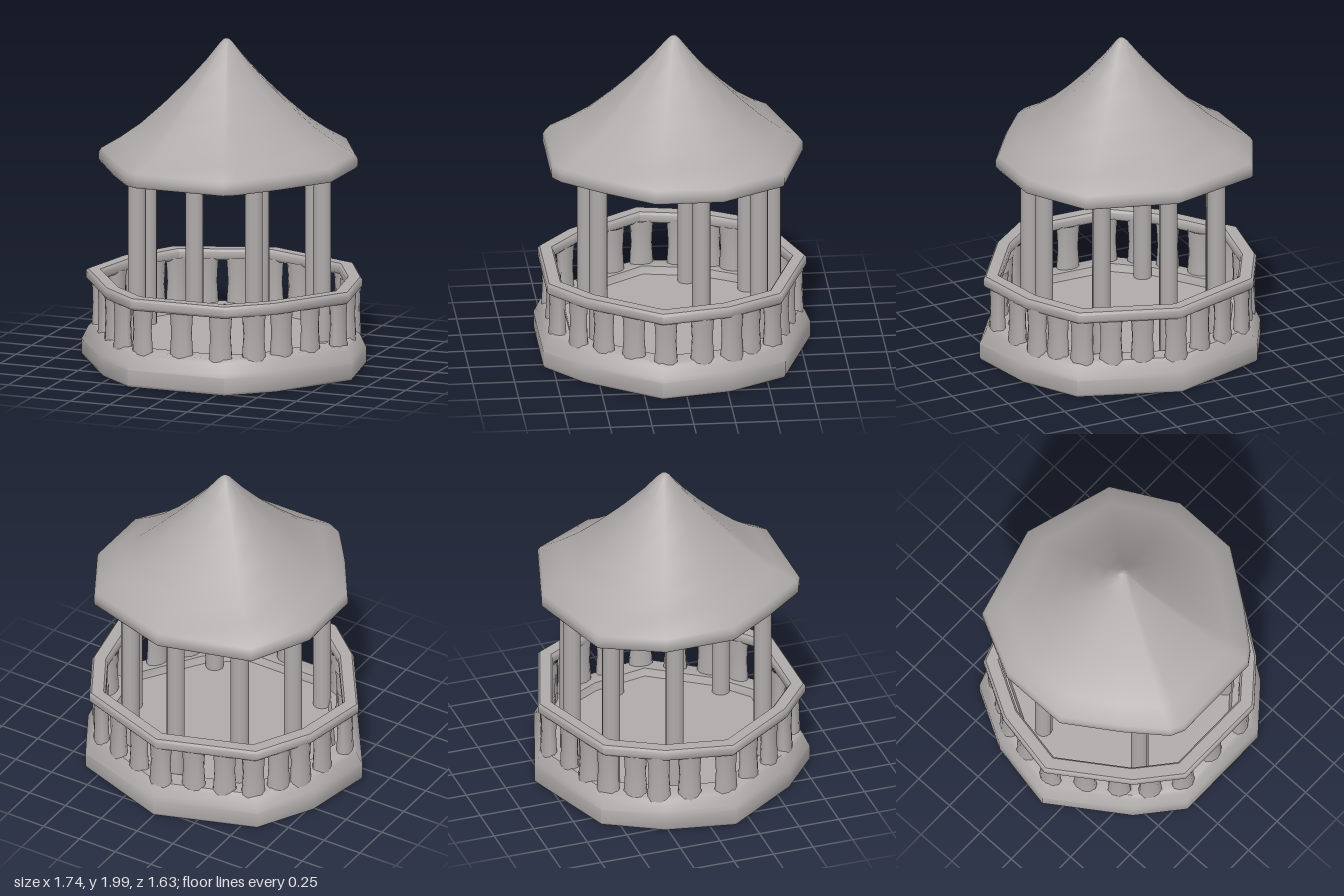
import * as THREE from 'three';
import { toCreasedNormals } from 'three/addons/utils/BufferGeometryUtils.js';

// Right half outlines [x, z] from back to front, mirrored to the other side
const mirror = (half) => [
  ...half,
  ...half.filter(([x]) => x > 0).reverse().map(([x, z]) => [-x, z]),
];
const BASE = mirror([[0, -0.82], [0.6, -0.61], [0.79, -0.27], [0.87, 0.15], [0.56, 0.6], [0.31, 0.81]]);
const BALUSTERS = mirror([
  [0, -0.73], [0.19, -0.665], [0.37, -0.605], [0.53, -0.54], [0.62, -0.4], [0.7, -0.28],
  [0.74, -0.1], [0.765, 0.12], [0.655, 0.3], [0.54, 0.47], [0.42, 0.61], [0.25, 0.72], [0, 0.72],
]);

// The roof and columns lean slightly off symmetry
const ROOF = [
  [0, -0.775], [0.54, -0.61], [0.75, -0.23], [0.748, 0.18], [0.53, 0.49], [0.35, 0.71], [0.28, 0.758],
  [-0.28, 0.758], [-0.36, 0.72], [-0.54, 0.49], [-0.748, 0.18], [-0.75, -0.25], [-0.565, -0.62],
];
const COLUMNS = [
  [-0.018, -0.59], [0.37, -0.475], [0.57, -0.11], [0.37, 0.487],
  [-0.38, 0.487], [-0.555, -0.13], [-0.395, -0.475],
];

// Sweep a profile of [scale, y] around an outline; the profile runs outward along the bottom, then up and in
function loft(outline, profile, closed, crease) {
  const pos = [];
  const n = outline.length;
  const at = ([s, y], j) => [outline[j % n][0] * s, y, outline[j % n][1] * s];
  const rows = closed ? profile.length : profile.length - 1;
  for (let i = 0; i < rows; i++) {
    const p = profile[i], q = profile[(i + 1) % profile.length];
    for (let j = 0; j < n; j++) {
      const a = at(p, j), b = at(p, j + 1), c = at(q, j + 1), d = at(q, j);
      if (p[0] > 0) pos.push(...a, ...d, ...b);
      if (q[0] > 0) pos.push(...b, ...d, ...c);
    }
  }
  const geo = new THREE.BufferGeometry();
  geo.setAttribute('position', new THREE.Float32BufferAttribute(pos, 3));
  return toCreasedNormals(geo, crease);
}

export function createModel() {
  const group = new THREE.Group();
  const stone = new THREE.MeshStandardMaterial({ color: 0xb0abab });
  stone.name = 'warm grey';
  const add = (name, geo, parent = group) => {
    const mesh = new THREE.Mesh(geo, stone);
    mesh.name = name;
    parent.add(mesh);
    return mesh;
  };

  // Plinth with a softly bevelled rim and a sunken floor
  add('base', loft(BASE, [
    [0, 0.01], [0.97, 0.01], [0.99, 0.015], [1, 0.03], [1, 0.12], [0.985, 0.145], [0.955, 0.2],
    [0.93, 0.222], [0.8, 0.225], [0.78, 0.18], [0, 0.18],
  ], false, 0.8));

  // Rounded handrail
  add('handrail', loft(BASE, [
    [0.875, 0.48], [0.955, 0.48], [0.97, 0.495], [0.97, 0.535],
    [0.955, 0.55], [0.87, 0.55], [0.855, 0.535], [0.855, 0.495],
  ], true, 0.85));

  // Stout balusters, slightly waisted and turned to face outward
  const balusters = new THREE.Group();
  balusters.name = 'balusters';
  group.add(balusters);
  const profile = [[0.074, 0.19], [0.07, 0.26], [0.064, 0.35], [0.069, 0.44], [0.074, 0.5]];
  const balusterGeo = new THREE.LatheGeometry(profile.map(([r, y]) => new THREE.Vector2(r, y)), 10);
  balusterGeo.scale(1, 1, 0.65);
  for (const [x, z] of BALUSTERS) {
    const post = add('baluster', balusterGeo, balusters);
    post.position.set(x, 0, z);
    post.rotation.y = Math.atan2(x, z);
  }

  // Seven columns carrying the roof
  const columns = new THREE.Group();
  columns.name = 'columns';
  group.add(columns);
  const columnGeo = new THREE.CylinderGeometry(0.054, 0.054, 1.13, 12);
  for (const [x, z] of COLUMNS) {
    add('column', columnGeo, columns).position.set(x, 0.735, z);
  }

  // Hollow flared roof with a rounded eave
  add('roof', loft(ROOF, [
    [0, 1.88], [0.3, 1.64], [0.6, 1.42], [0.8, 1.285], [0.82, 1.245], [0.86, 1.225],
    [0.96, 1.217], [0.99, 1.222], [1, 1.235], [1, 1.28], [0.98, 1.305], [0.83, 1.375], [0.67, 1.465],
    [0.5, 1.585], [0.32, 1.725], [0.16, 1.865], [0.045, 1.98], [0.02, 1.997], [0, 2],
  ], false, 1));

  return group;
}
